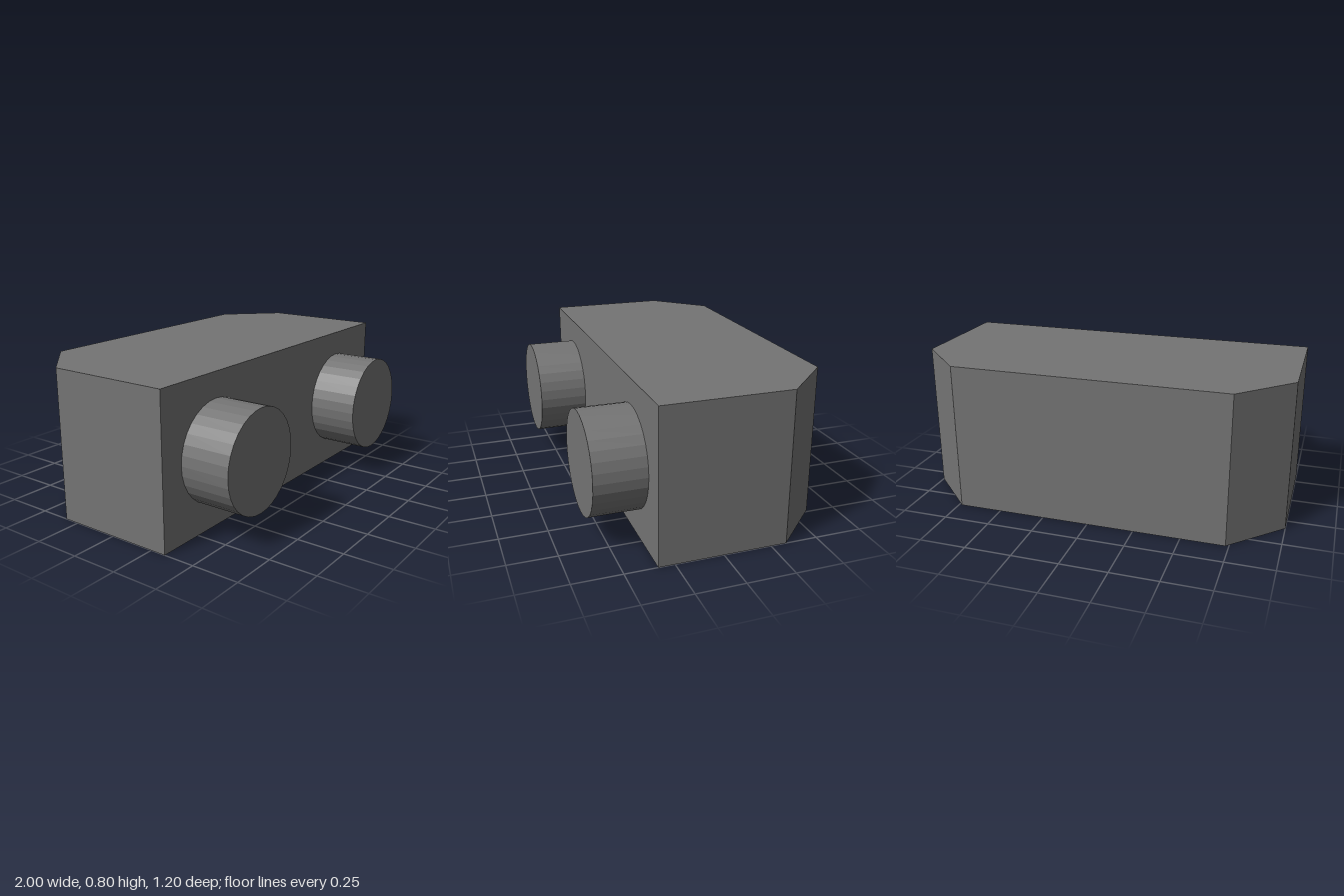
import * as THREE from 'three';

export function createModel() {
  const model = new THREE.Group();
  model.name = 'chamferedBlock';

  const grey = new THREE.MeshStandardMaterial({ color: 0x747474, flatShading: true });
  grey.name = 'grey';

  const height = 0.8;
  const frontZ = 1 / 3;

  // Body: plan outline with the two back corners cut off (shape y is -z)
  const outline = new THREE.Shape([
    [-1, -frontZ], [1, -frontZ], [1, 0.333], [0.733, 0.6], [-0.733, 0.6], [-1, 0.333],
  ].map(([x, y]) => new THREE.Vector2(x, y)));
  const bodyGeometry = new THREE.ExtrudeGeometry(outline, { depth: height, bevelEnabled: false });
  bodyGeometry.rotateX(-Math.PI / 2);
  const body = new THREE.Mesh(bodyGeometry, grey);
  body.name = 'body';
  model.add(body);

  // Two round pegs standing out from the front face
  const pegLength = 0.6 - frontZ;
  const pegGeometry = new THREE.CylinderGeometry(0.267, 0.267, pegLength, 32);
  pegGeometry.rotateX(Math.PI / 2);
  for (const [name, side] of [['leftPeg', 1], ['rightPeg', -1]]) {
    const peg = new THREE.Mesh(pegGeometry, grey);
    peg.name = name;
    peg.position.set(side * 0.6, height / 2, frontZ + pegLength / 2);
    model.add(peg);
  }

  return model;
}
